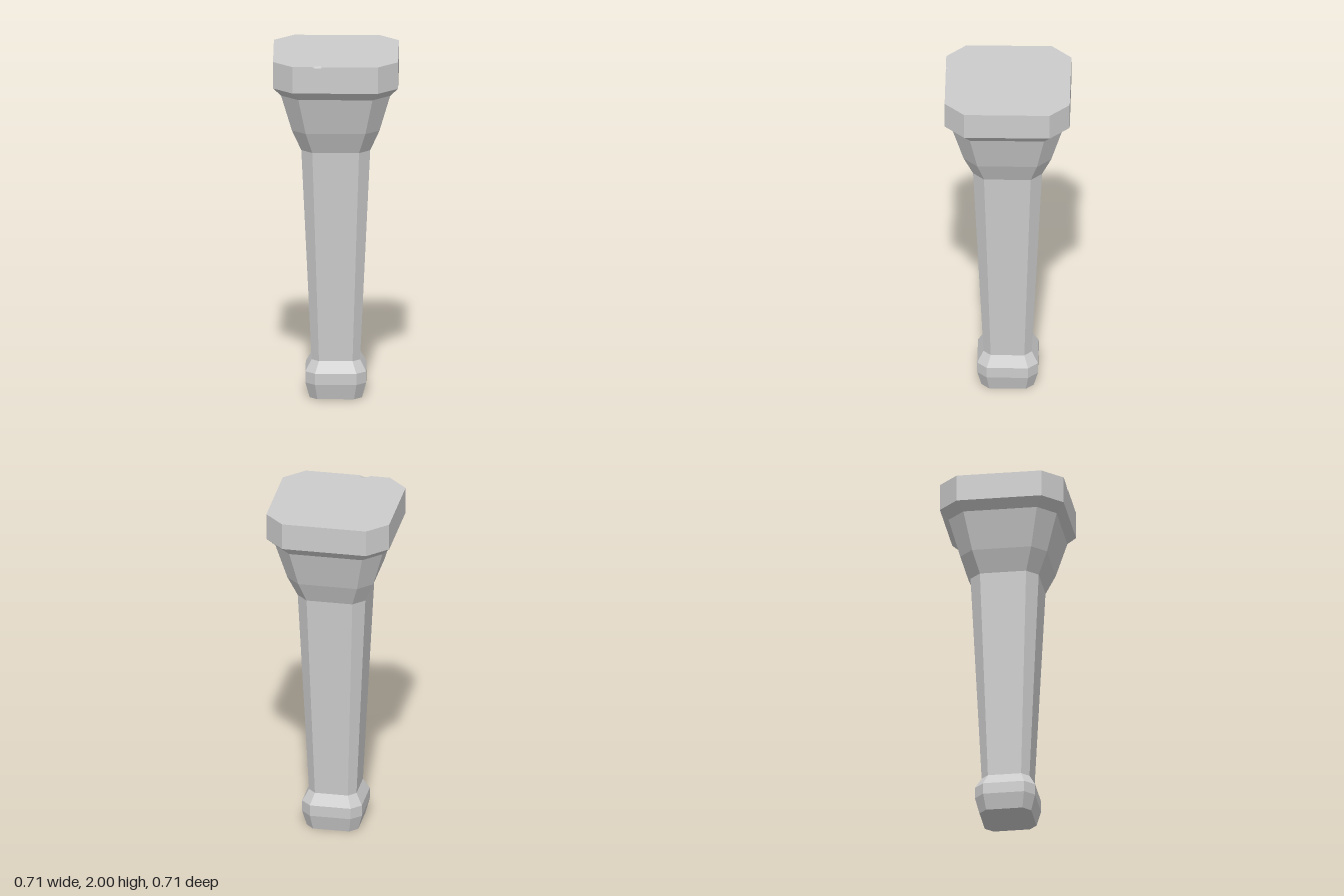
import * as THREE from 'three';

// Horizontal sections: [height, half width, half length of the straight side]
const SECTIONS = [
  [0, 0.148, 0.104], [0.09, 0.172, 0.117], [0.155, 0.172, 0.117], [0.22, 0.137, 0.095],
  [1.455, 0.195, 0.132], [1.58, 0.248, 0.169], [1.795, 0.309, 0.21],
  [1.845, 0.354, 0.242], [2, 0.354, 0.242],
];

// Square with cut corners, counter-clockwise seen from above
const ring = ([y, w, c]) =>
  [[c, w], [w, c], [w, -c], [c, -w], [-c, -w], [-w, -c], [-w, c], [-c, w]]
    .map(([x, z]) => new THREE.Vector3(x, y, z));

// Triangles of one flat polygon, projected to 2D by the given rule
function polygon(points, project) {
  const flat = points.map((p) => new THREE.Vector2(...project(p)));
  return THREE.ShapeUtils.triangulateShape(flat, []).flat().map((i) => points[i]);
}

// Side faces between two rings, leaving out one side if asked
function band(lower, upper, skip = -1) {
  const out = [];
  for (let i = 0; i < 8; i++) {
    if (i === skip) continue;
    const j = (i + 1) % 8;
    out.push(lower[i], lower[j], upper[j], lower[i], upper[j], upper[i]);
  }
  return out;
}

export function createModel() {
  const group = new THREE.Group();
  const stone = new THREE.MeshStandardMaterial({ color: 0xcccccc });
  stone.name = 'grey stone';
  const rings = SECTIONS.map(ring);

  function add(name, triangles) {
    const geometry = new THREE.BufferGeometry().setFromPoints(triangles);
    geometry.computeVertexNormals();
    const mesh = new THREE.Mesh(geometry, stone);
    mesh.name = name;
    group.add(mesh);
  }
  const bands = (from, to) => {
    const out = [];
    for (let i = from; i < to; i++) out.push(...band(rings[i], rings[i + 1]));
    return out;
  };

  // Bulging foot with a closed underside, tapering shaft, flared capital
  const underside = polygon([...rings[0]], (p) => [p.x, -p.z]).reverse();
  add('foot', [...underside, ...bands(0, 3)]);
  add('shaft', bands(3, 4));
  add('capital', bands(4, 7));

  // Top slab with a small chip in its front edge
  const [a, b, c, d, e, f] = [
    [-0.13, 2, 0.354], [-0.118, 2, 0.338], [-0.083, 2, 0.325], [-0.07, 2, 0.354],
    [-0.116, 1.992, 0.354], [-0.08, 1.992, 0.354],
  ].map((p) => new THREE.Vector3(...p));
  const low = rings[7], top = rings[8];
  add('topSlab', [
    ...band(low, top, 7),
    ...polygon([...top, a, b, c, d], (p) => [p.x, -p.z]),
    ...polygon([low[7], low[0], top[0], d, f, e, a, top[7]], (p) => [p.x, p.y]),
  ]);
  add('chip', [a, e, b, b, e, f, b, f, c, c, f, d]);

  return group;
}
